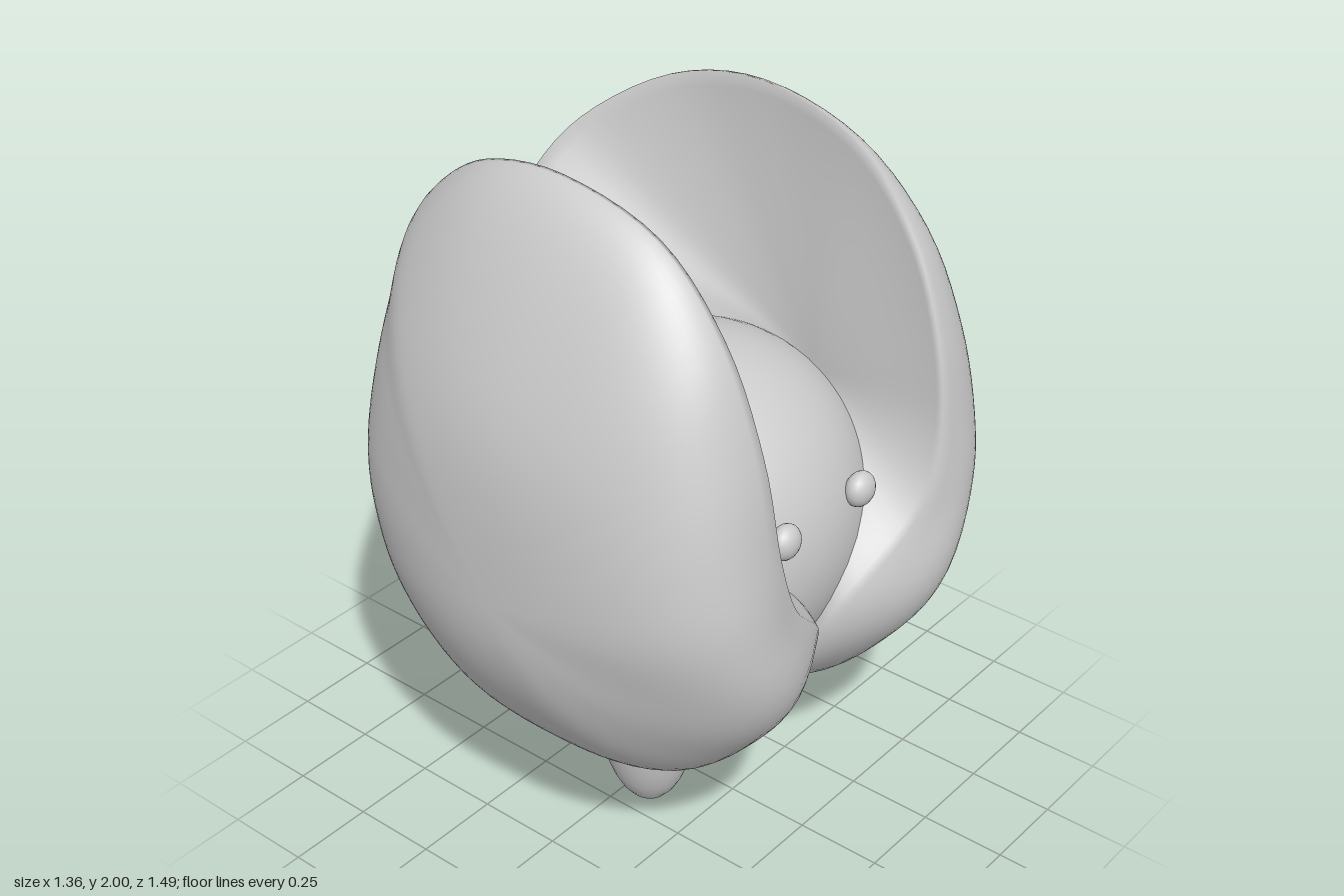
import * as THREE from 'three';
import { mergeVertices } from 'three/addons/utils/BufferGeometryUtils.js';

const material = new THREE.MeshStandardMaterial({ color: 0xcccccc, roughness: 0.8 });

// Rim of one shell, clockwise from the top: x, y, z, roundness exponent, bulge beyond the rim
const RIM = [
  [0, 2.0, 0.38, 1.65, 0], [0.3, 1.92, 0.38, 1.7, 0], [0.5, 1.71, 0.38, 2.0, 0],
  [0.61, 1.43, 0.37, 2.4, 0], [0.65, 1.15, 0.345, 2.8, 0.02], [0.64, 0.95, 0.26, 3, 0.08],
  [0.57, 0.75, 0.06, 3, 0.22], [0.49, 0.58, 0.01, 2.8, 0.19], [0.33, 0.44, 0.005, 2.6, 0.21],
  [0.1, 0.4, 0.005, 2.5, 0.25], [-0.2, 0.42, 0.005, 2.5, 0.25], [-0.43, 0.53, 0.005, 2.6, 0.15],
  [-0.59, 0.75, 0.005, 2.9, 0.07], [-0.66, 1.0, 0.005, 3.1, 0.02], [-0.68, 1.2, 0.01, 3, 0],
  [-0.66, 1.42, 0.03, 2.7, 0], [-0.61, 1.62, 0.13, 2.3, 0], [-0.52, 1.79, 0.26, 2.0, 0],
  [-0.28, 1.95, 0.35, 1.75, 0],
];
const closed = (points) => new THREE.CatmullRomCurve3(points, true, 'catmullrom', 0.5);
const rimCurve = closed(RIM.map(([x, y, z]) => new THREE.Vector3(x, y, z)));
const shapeCurve = closed(RIM.map(([, , , n, b]) => new THREE.Vector3(n, b, 0)));

// Shell: loops run from the middle of the hollow, over the rim, to the middle of the dome
function shellGeometry(side) {
  const around = 96, inner = 20, outer = 32, rows = inner + outer;
  const hollow = new THREE.Vector3(0.24, 1.24, 0.343);
  const dome = new THREE.Vector3(0.02, 0.96, 0.745);
  const positions = [], index = [];
  for (let i = 0; i <= rows; i++) {
    for (let j = 0; j < around; j++) {
      const rim = rimCurve.getPoint(j / around);
      const { x: roundness, y: bulge } = shapeCurve.getPoint(j / around);
      let centre, r, h;
      if (i < inner) {
        centre = hollow;
        r = i / inner;
        h = 1 - THREE.MathUtils.smoothstep(r, 0, 1);
      } else {
        centre = dome;
        const a = ((i - inner) / outer) * Math.PI / 2;
        // Every direction shares one exponent at the middle, so the dome has no creases
        const n = THREE.MathUtils.lerp(roundness, 2.4, Math.sin(a) ** 6);
        h = Math.sin(a) ** (2 / n);
        r = Math.max(Math.cos(a), 0) ** (2 / n) * (1 + bulge * Math.sin(Math.PI * h));
      }
      positions.push(
        THREE.MathUtils.lerp(centre.x, rim.x, r),
        THREE.MathUtils.lerp(centre.y, rim.y, r),
        side * THREE.MathUtils.lerp(rim.z, centre.z, h));
      if (i < rows) {
        const k = (j + 1) % around;
        const a = i * around + j, b = a + around;
        const c = i * around + k, d = c + around;
        if (side > 0) index.push(a, b, c, c, b, d);
        else index.push(a, c, b, c, d, b);
      }
    }
  }
  let geometry = new THREE.BufferGeometry();
  geometry.setAttribute('position', new THREE.Float32BufferAttribute(positions, 3));
  geometry.setIndex(index);
  geometry = mergeVertices(geometry, 1e-5);
  geometry.computeVertexNormals();
  return geometry;
}

function ellipsoid(name, position, radii, segments) {
  const geometry = new THREE.SphereGeometry(1, segments, segments / 2).scale(...radii);
  const mesh = new THREE.Mesh(geometry, material);
  mesh.position.set(...position);
  mesh.name = name;
  return mesh;
}

export function createModel() {
  const model = new THREE.Group();
  model.name = 'shellCreature';

  // Round body held between the shells, facing +x
  model.add(ellipsoid('body', [0.05, 0.91, 0], [0.5, 0.5, 0.55], 64));

  // Mirrored shells, eyes and legs
  for (const side of [1, -1]) {
    const prefix = side > 0 ? 'front' : 'back';
    const shell = new THREE.Mesh(shellGeometry(side), material);
    shell.name = prefix + 'Shell';
    model.add(shell);
    model.add(ellipsoid(prefix + 'Eye', [0.527, 1.06, side * 0.163], [0.037, 0.05, 0.05], 24));
    model.add(ellipsoid(prefix + 'Leg', [0.075, 0.32, side * 0.17], [0.147, 0.32, 0.132], 32));
  }
  return model;
}
